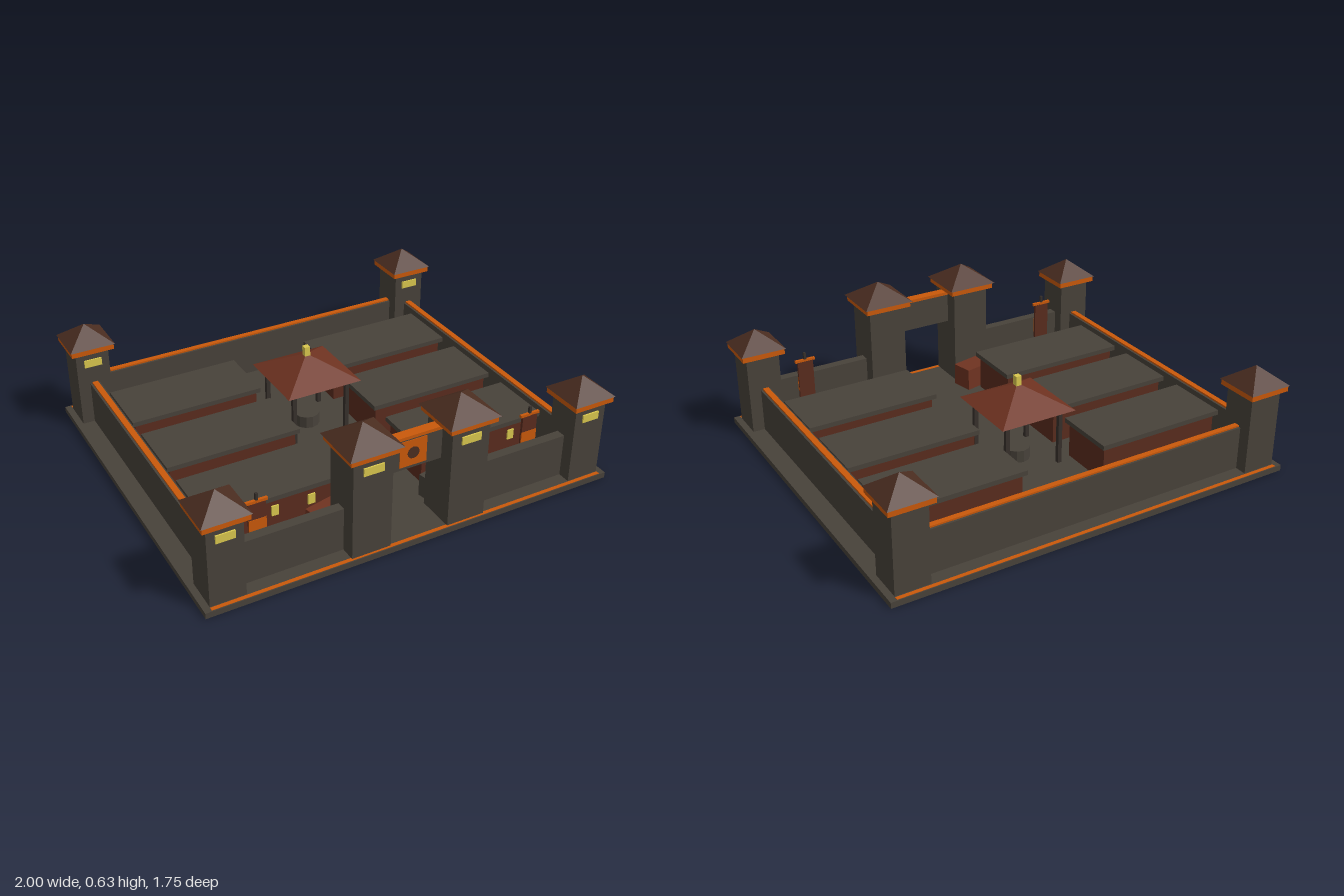
import * as THREE from 'three';

const mat = (name, color) => {
  const m = new THREE.MeshStandardMaterial({ color, flatShading: true });
  m.name = name;
  return m;
};

export function createModel() {
  const stone = mat('stone', 0x48423a);
  const orange = mat('orange trim', 0xca590a);
  const roofBrown = mat('roof brown', 0x4c2e21);
  const houseBrown = mat('house brown', 0x5a2c1e);
  const redBrown = mat('red brown', 0x703321);
  const yellow = mat('window yellow', 0xdac84e);
  const darkWood = mat('dark wood', 0x37302b);

  const G = 0.028; // ground level on top of the base slab
  const FRONT = 0.749, BACK = -0.766;
  const model = new THREE.Group();
  model.name = 'walledFort';

  const add = (parent, name, geo, material, x, y, z) => {
    const mesh = new THREE.Mesh(geo, material);
    mesh.name = name;
    mesh.position.set(x, y, z);
    parent.add(mesh);
    return mesh;
  };
  // Box given by its centre in x and z and its bottom and top heights
  const box = (parent, name, material, x, z, w, d, y0, y1) =>
    add(parent, name, new THREE.BoxGeometry(w, y1 - y0, d), material, x, (y0 + y1) / 2, z);
  // Square pyramid roof
  const pyramid = (parent, name, material, x, z, w, y0, y1) => {
    const geo = new THREE.ConeGeometry(w / Math.SQRT2, y1 - y0, 4).rotateY(Math.PI / 4);
    return add(parent, name, geo, material, x, (y0 + y1) / 2, z);
  };
  const group = (name, x = 0, z = 0) => {
    const g = new THREE.Group();
    g.name = name;
    g.position.set(x, 0, z);
    model.add(g);
    return g;
  };

  // Base slab with thin orange border strips
  box(model, 'base', stone, 0, -0.0095, 2, 1.733, 0, G);
  for (const z of [0.843, -0.862])
    box(model, 'baseStrip', orange, 0, z, 1.94, 0.018, G, G + 0.0015);

  // Tower: shaft, orange band, pyramid roof and a lit front window
  function tower(name, x, z, w, top, apex, bandW, roofW, winW) {
    const g = group(name, x, z);
    box(g, 'shaft', stone, 0, 0, w, w, G, top);
    box(g, 'roofBand', orange, 0, 0, bandW, bandW, top, top + 0.028);
    pyramid(g, 'roof', roofBrown, 0, 0, roofW, top + 0.028, apex);
    box(g, 'window', yellow, 0, w / 2 + 0.003, winW, 0.008, top - 0.077, top - 0.039);
  }
  for (const s of [-1, 1]) {
    tower('frontTower', s * 0.888, FRONT, 0.162, 0.41, 0.523, 0.208, 0.219, 0.086);
    tower('backTower', s * 0.888, BACK, 0.162, 0.41, 0.523, 0.208, 0.219, 0.086);
    tower('gateTower', s * 0.236, FRONT, 0.187, 0.511, 0.627, 0.234, 0.253, 0.096);
  }

  // Walls
  box(model, 'backWall', stone, 0, BACK, 1.62, 0.047, G, 0.238);
  box(model, 'backWallTrim', orange, 0, BACK, 1.62, 0.026, 0.238, 0.246);
  for (const s of [-1, 1]) {
    box(model, 'sideWall', stone, s * 0.888, -0.01, 0.047, 1.36, G, 0.238);
    box(model, 'sideWallTrim', orange, s * 0.888, -0.01, 0.028, 1.36, 0.238, 0.246);
    box(model, 'frontWall', stone, s * 0.568, FRONT - 0.003, 0.49, 0.046, G, 0.24);
  }

  // Gate lintel with a square emblem plate and round boss
  const gate = group('gateLintel', 0, FRONT - 0.003);
  box(gate, 'panel', stone, 0, 0, 0.29, 0.04, 0.338, 0.486);
  box(gate, 'topBeam', orange, 0, 0, 0.29, 0.048, 0.486, 0.501);
  box(gate, 'emblemPlate', orange, 0, 0.02, 0.132, 0.006, 0.352, 0.478);
  const boss = new THREE.CylinderGeometry(0.029, 0.029, 0.006, 12).rotateX(Math.PI / 2);
  add(gate, 'emblemBoss', boss, roofBrown, 0, 0.414, 0.0215);

  // Six long houses with flat roofs; the front pair has lit windows
  for (const s of [-1, 1]) {
    for (const z of [-0.435, -0.026, 0.382]) {
      const g = group('longHouse', s * 0.524, z);
      box(g, 'walls', houseBrown, 0, 0, 0.62, 0.272, G, 0.2);
      box(g, 'flatRoof', stone, 0, 0, 0.652, 0.307, 0.2, 0.223);
      if (z > 0)
        for (const x of [-0.175, 0, 0.175])
          box(g, 'window', yellow, x, 0.139, 0.034, 0.008, 0.115, 0.165);
    }
  }

  // Open pavilion over a round well
  const pav = group('pavilion', 0, -0.182);
  for (const x of [-0.14, 0.14])
    for (const z of [-0.14, 0.14])
      box(pav, 'post', darkWood, x, z, 0.02, 0.02, G, 0.312);
  pyramid(pav, 'roof', redBrown, 0, 0, 0.384, 0.306, 0.411);
  box(pav, 'finial', yellow, 0, 0, 0.028, 0.028, 0.398, 0.45);
  add(pav, 'well', new THREE.CylinderGeometry(0.062, 0.062, 0.06, 12), stone, 0, G + 0.03, 0);

  // Crates just inside the gate, set at an angle
  for (const [material, x, z] of [[redBrown, -0.263, 0.597], [stone, 0.298, 0.615]])
    box(model, 'crate', material, x, z, 0.27, 0.107, G, 0.138).rotation.y = 0.215;

  // Banners behind the front wall, with an orange field on the front
  for (const s of [-1, 1]) {
    const g = group('banner', s * 0.678, 0.67);
    box(g, 'pole', darkWood, 0, 0, 0.012, 0.012, G, 0.38);
    box(g, 'cloth', houseBrown, 0, 0, 0.078, 0.013, 0.15, 0.336);
    box(g, 'field', orange, 0, 0.0055, 0.08, 0.006, 0.18, 0.255);
    box(g, 'crossbar', orange, 0, 0, 0.1, 0.013, 0.334, 0.347);
  }

  return model;
}
